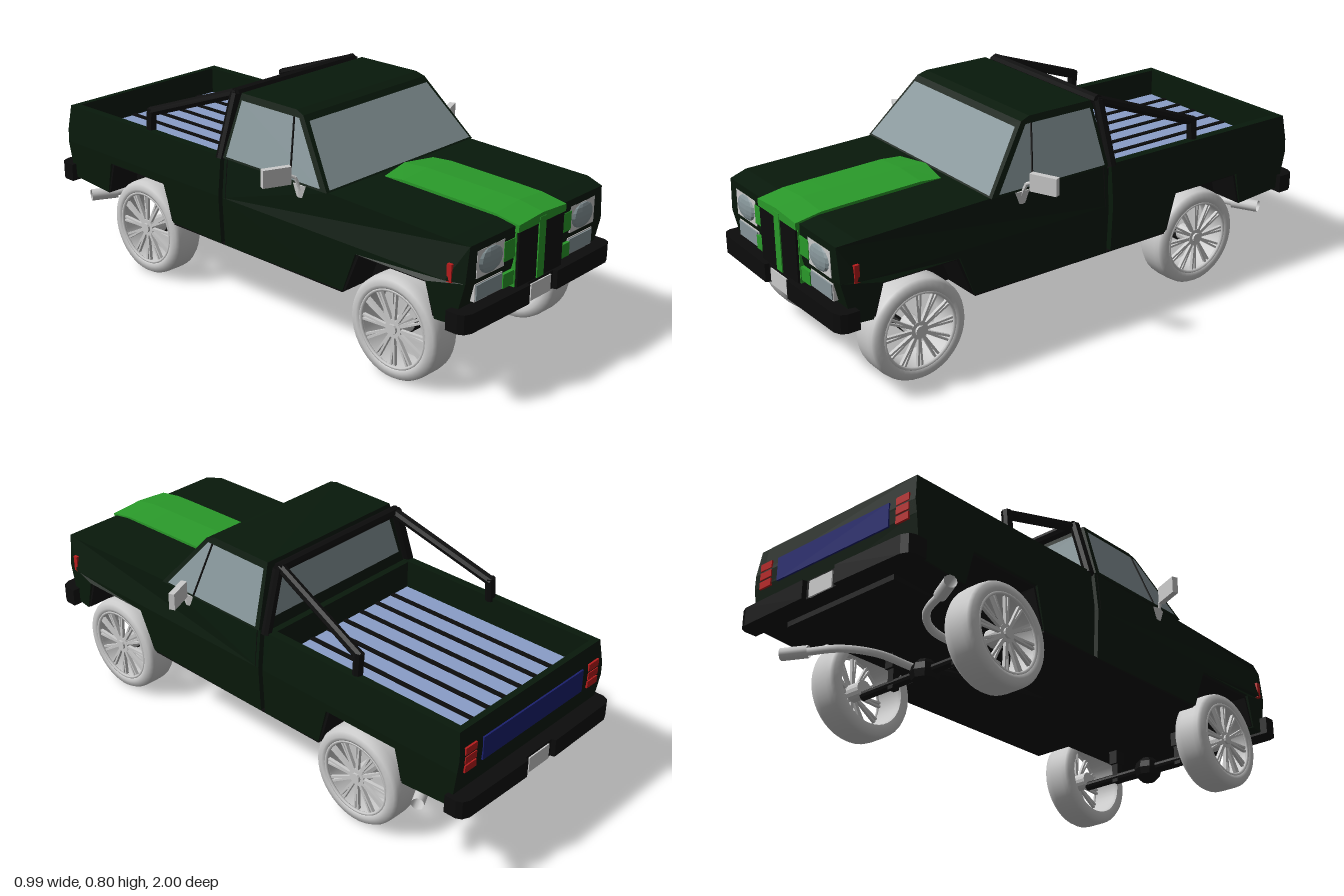
import * as THREE from 'three';

const mat = (color) => new THREE.MeshStandardMaterial({ color, flatShading: true, side: THREE.DoubleSide });
const paint = mat(0x08190b), black = mat(0x0c0c0c), green = mat(0x2a9a2a), blue = mat(0x8a9ec8);
const glass = mat(0x87969a), red = mat(0xb81c1c), navy = mat(0x1a1f6e), grey = mat(0xcccccc);
const smoothGrey = new THREE.MeshStandardMaterial({ color: 0xcccccc, side: THREE.DoubleSide });
const V = (x, y, z) => new THREE.Vector3(x, y, z);
const lerp = THREE.MathUtils.lerp;

export function createModel() {
  const root = new THREE.Group();

  function add(name, geo, material, parent = root) {
    const m = new THREE.Mesh(geo, material);
    m.name = name;
    parent.add(m);
    return m;
  }
  function box(name, material, w, h, d, x, y, z, parent = root) {
    const m = add(name, new THREE.BoxGeometry(w, h, d), material, parent);
    m.position.set(x, y, z);
    return m;
  }
  // Side outline of [z, y] points, extruded across x between two width rules
  function prism(name, material, pts, outer, inner = (y, z) => -outer(y, z)) {
    const shape = new THREE.Shape(pts.map(([z, y]) => new THREE.Vector2(z, y)));
    const geo = new THREE.ExtrudeGeometry(shape, { depth: 1, bevelEnabled: false });
    geo.translate(0, 0, -0.5).rotateY(-Math.PI / 2);
    const p = geo.attributes.position;
    for (let i = 0; i < p.count; i++) {
      const y = p.getY(i), z = p.getZ(i);
      p.setX(i, p.getX(i) > 0 ? outer(y, z) : inner(y, z));
    }
    geo.computeVertexNormals();
    return add(name, geo, material);
  }
  // Thin four-cornered panel
  function panel(name, material, corners) {
    const geo = new THREE.BufferGeometry().setFromPoints(corners);
    geo.setIndex([0, 1, 2, 0, 2, 3]);
    geo.computeVertexNormals();
    return add(name, geo, material);
  }
  // Round bar between two points
  function bar(name, material, a, b, r, sides = 8, parent = root) {
    const m = add(name, new THREE.CylinderGeometry(r, r, a.distanceTo(b), sides), material, parent);
    m.position.copy(a).lerp(b, 0.5);
    m.quaternion.setFromUnitVectors(V(0, 1, 0), b.clone().sub(a).normalize());
    return m;
  }

  // Body: widest at the waist, narrowing upward, downward and at the nose
  const bodyW = (y, z) => (y < 0.43 ? lerp(0.377, 0.385, (y - 0.25) / 0.18) : lerp(0.385, 0.37, (y - 0.43) / 0.145))
    - Math.max(0, z - 0.9) * 0.3;
  prism('cabLowerBody', paint, [[0.93, 0.285], [0.86, 0.285], [0.825, 0.405], [0.535, 0.405], [0.475, 0.255],
    [-0.085, 0.25], [-0.085, 0.43], [0.9, 0.43], [0.965, 0.43]], bodyW);
  prism('cabUpperBody', paint, [[0.965, 0.43], [0.9, 0.43], [-0.085, 0.43], [-0.085, 0.575], [0.405, 0.575],
    [0.9, 0.562], [0.968, 0.55]], bodyW);
  prism('bedLowerBody', paint, [[-0.105, 0.25], [-0.36, 0.255], [-0.4, 0.4], [-0.7, 0.4], [-0.73, 0.275],
    [-0.93, 0.29], [-0.952, 0.43], [-0.105, 0.43]], bodyW);
  prism('tailgate', paint, [[-0.92, 0.43], [-0.952, 0.43], [-0.955, 0.48], [-0.943, 0.572], [-0.92, 0.572]], bodyW);
  prism('bedFrontWall', paint, [[-0.105, 0.43], [-0.105, 0.572], [-0.13, 0.572], [-0.13, 0.43]], bodyW);
  for (const s of [1, -1]) {
    prism('bedSide', paint, [[-0.105, 0.43], [-0.105, 0.575], [-0.943, 0.572], [-0.955, 0.48], [-0.952, 0.43]],
      bodyW, () => 0.338).scale.x = s;
  }

  // Black underside, wheel arch linings and the filler between cab and bed
  const underW = () => 0.374;
  box('underbody', black, 0.5, 0.14, 1.82, 0, 0.335, 0);
  box('floorPan', black, 0.748, 0.006, 0.83, 0, 0.25, 0.057);
  prism('tailPan', black, [[-0.73, 0.272], [-0.93, 0.287], [-0.93, 0.292], [-0.73, 0.28]], underW);
  box('cabGapFiller', black, 0.71, 0.3, 0.03, 0, 0.405, -0.095);
  prism('frontArchLining', black, [[0.858, 0.29], [0.825, 0.404], [0.535, 0.404], [0.477, 0.258],
    [0.485, 0.258], [0.542, 0.396], [0.818, 0.396], [0.85, 0.29]], underW);
  prism('rearArchLining', black, [[-0.362, 0.258], [-0.4, 0.4], [-0.7, 0.4], [-0.73, 0.278],
    [-0.722, 0.278], [-0.693, 0.392], [-0.407, 0.392], [-0.37, 0.258]], underW);

  // Bed floor with dark ribs
  box('bedFloor', blue, 0.676, 0.04, 0.79, 0, 0.45, -0.525);
  for (let i = -3; i <= 3; i++) box('bedRib', black, 0.018, 0.014, 0.79, i * 0.0845, 0.468, -0.525);

  // Cab and windows
  const cabW = (y) => lerp(0.378, 0.308, (y - 0.575) / 0.215);
  prism('cab', paint, [[0.405, 0.575], [0.235, 0.785], [0.2, 0.797], [-0.06, 0.797], [-0.085, 0.575]], cabW);
  const shieldZ = (y) => lerp(0.405, 0.235, (y - 0.575) / 0.21) + 0.005;
  panel('windshield', glass, [V(-0.364, 0.582, shieldZ(0.582)), V(0.364, 0.582, shieldZ(0.582)),
    V(0.3, 0.768, shieldZ(0.768)), V(-0.3, 0.768, shieldZ(0.768))]);
  panel('rearWindow', glass, [V(0.335, 0.6, -0.086), V(-0.335, 0.6, -0.086),
    V(-0.287, 0.772, -0.068), V(0.287, 0.772, -0.068)]);
  for (const s of [1, -1]) {
    const side = (y, z, out = 0.003) => V(s * (cabW(y) + out), y, z);
    panel('sideWindow', glass, [side(0.583, 0.375), side(0.583, -0.068), side(0.775, -0.05), side(0.775, 0.222)]);
    bar('ventPost', black, side(0.583, 0.24), side(0.775, 0.2), 0.004, 6);
    bar('doorSeam', black, V(s * 0.384, 0.43, -0.07), V(s * 0.37, 0.575, -0.07), 0.002, 4);
  }

  // Raised hood stripe, crowned along the middle and bent down at the nose
  const stripe = new THREE.BoxGeometry(0.254, 0.04, 0.565, 2, 1, 6);
  const sp = stripe.attributes.position;
  for (let i = 0; i < sp.count; i++) {
    const mid = 1 - Math.abs(sp.getX(i)) / 0.127;
    let z = sp.getZ(i) + 0.7;
    const top = z > 0.88 ? lerp(0.572, 0.555, (z - 0.88) / 0.1) : z > 0.5 ? lerp(0.582, 0.572, (z - 0.5) / 0.38) : 0.575;
    const y = sp.getY(i) > 0 ? top + 0.009 * mid : 0.53;
    if (z < 0.42) z += 0.022 * (1 - mid) - 0.007;
    sp.setXYZ(i, sp.getX(i), y, z);
  }
  stripe.computeVertexNormals();
  add('hoodStripe', stripe, green);

  // Grille and lamps
  box('grilleSurround', green, 0.25, 0.21, 0.05, 0, 0.445, 0.948);
  box('grilleSpine', green, 0.036, 0.21, 0.02, 0, 0.445, 0.974);
  for (const s of [1, -1]) {
    box('grille', black, 0.1, 0.195, 0.02, s * 0.07, 0.437, 0.971);
    for (const [y, h] of [[0.478, 0.066], [0.378, 0.048]]) box('grilleWing', green, 0.06, h, 0.03, s * 0.15, y, 0.955);
    box('headlightFrame', grey, 0.138, 0.092, 0.03, s * 0.246, 0.478, 0.953);
    const lens = add('headlight', new THREE.SphereGeometry(1, 10, 8), glass);
    lens.scale.set(0.062, 0.044, 0.014);
    lens.position.set(s * 0.246, 0.478, 0.967);
    box('lowerLamp', grey, 0.138, 0.06, 0.03, s * 0.246, 0.382, 0.948);
    box('lowerLampLens', glass, 0.13, 0.052, 0.006, s * 0.246, 0.382, 0.964);
    box('sideMarker', red, 0.012, 0.06, 0.018, s * 0.375, 0.456, 0.913);
    // Stacked tail lamps
    for (let i = 0; i < 3; i++) box('tailLamp', red, 0.056, 0.026, 0.01, s * 0.325, 0.432 + i * 0.033, -0.953);
  }
  box('tailPanel', navy, 0.53, 0.085, 0.01, 0, 0.465, -0.953);

  // Bumpers with rounded, wrapped corners and a plate in a shallow centre recess
  for (const s of [1, -1]) {
    const half = [[0.4, 0.92], [0.4, 0.965], [0.39, 0.985], [0.365, 0.996], [0.075, 1], [0.07, 0.985]];
    const plan = [...half, ...half.map(([x, z]) => [-x, z]).reverse()];
    const geo = new THREE.ExtrudeGeometry(new THREE.Shape(plan.map(([x, z]) => new THREE.Vector2(x, z))),
      { depth: 0.066, bevelEnabled: false });
    geo.rotateX(Math.PI / 2).translate(0, 0.342, 0);
    add(s > 0 ? 'frontBumper' : 'rearBumper', geo, black).rotation.y = s > 0 ? 0 : Math.PI;
    box('plate', grey, 0.108, 0.058, 0.01, 0, 0.305, s * 0.985);
  }

  // Roll bar
  const hoop = [V(-0.365, 0.565, -0.108), V(-0.297, 0.787, -0.1), V(0.297, 0.787, -0.1), V(0.365, 0.565, -0.108)];
  for (let i = 0; i < 3; i++) bar('rollHoop', black, hoop[i], hoop[i + 1], 0.019);
  for (const s of [1, -1]) {
    bar('rollBrace', black, V(s * 0.285, 0.786, -0.1), V(s * 0.338, 0.637, -0.508), 0.018);
    bar('rollBracePost', black, V(s * 0.338, 0.65, -0.502), V(s * 0.345, 0.56, -0.502), 0.018);

    // Door mirrors
    const mirror = box('mirror', grey, 0.1, 0.062, 0.022, s * 0.446, 0.61, 0.243);
    mirror.rotation.y = s * 0.4;
    bar('mirrorArm', grey, V(s * 0.372, 0.55, 0.285), V(s * 0.388, 0.6, 0.272), 0.006);
    bar('mirrorArm', grey, V(s * 0.388, 0.6, 0.272), V(s * 0.41, 0.61, 0.258), 0.006);
    const mount = add('mirrorMount', new THREE.CylinderGeometry(0.03, 0.012, 0.045, 4), grey);
    mount.scale.x = 0.3;
    mount.position.set(s * 0.374, 0.55, 0.278);

    // Exhaust pipes
    const path = new THREE.CatmullRomCurve3([V(s * 0.1, 0.25, -0.28), V(s * 0.12, 0.235, -0.45),
      V(s * 0.13, 0.235, -0.62), V(s * 0.2, 0.24, -0.72), V(s * 0.32, 0.245, -0.775)]);
    add('exhaustPipe', new THREE.TubeGeometry(path, 24, 0.014, 8), smoothGrey);
    const tip = add('exhaustTip', new THREE.CylinderGeometry(0.022, 0.022, 0.1, 12, 1, true), smoothGrey);
    tip.position.set(s * 0.352, 0.246, -0.79);
    tip.quaternion.setFromUnitVectors(V(0, 1, 0), V(s * 0.88, 0, -0.45).normalize());
  }

  // Axles, springs and drive shaft
  for (const z of [0.685, -0.525]) {
    bar('axle', black, V(-0.3, 0.16, z), V(0.3, 0.16, z), 0.017, 10);
    const diff = add('differential', new THREE.SphereGeometry(0.052, 8, 6), black);
    diff.position.set(0, 0.155, z);
    for (const s of [1, -1]) {
      box('springMount', black, 0.026, 0.13, 0.03, s * 0.15, 0.205, z);
      box('springPad', black, 0.036, 0.055, 0.05, s * 0.15, 0.24, z);
    }
  }
  bar('driveShaft', black, V(0, 0.25, 0.04), V(0, 0.168, -0.5), 0.024, 10);

  // Wheels: tyre profile of [radius, offset], twelve split spokes and a hub
  const profile = [[0.136, -0.058], [0.15, -0.0625], [0.17, -0.058], [0.178, -0.045], [0.18, -0.025], [0.18, 0.025],
    [0.178, 0.045], [0.17, 0.058], [0.15, 0.0625], [0.136, 0.058], [0.131, 0.045], [0.131, -0.045], [0.136, -0.058]];
  const tyre = new THREE.LatheGeometry(profile.map(([r, o]) => new THREE.Vector2(r, o)), 40).rotateZ(-Math.PI / 2);
  for (const s of [1, -1]) for (const z of [0.685, -0.525]) {
    const wheel = new THREE.Group();
    wheel.name = z > 0 ? 'frontWheel' : 'rearWheel';
    wheel.position.set(s * 0.315, 0.185, z);
    wheel.rotation.y = s > 0 ? 0 : Math.PI;
    root.add(wheel);
    add('tyre', tyre, smoothGrey, wheel);
    const rim = add('rimLip', new THREE.TorusGeometry(0.134, 0.006, 6, 40), smoothGrey, wheel);
    rim.rotation.y = Math.PI / 2;
    rim.position.x = 0.055;
    for (let i = 0; i < 12; i++) for (const t of [-0.055, 0.055]) {
      const a = (i / 12) * Math.PI * 2 + t;
      const spoke = box('spoke', grey, 0.012, 0.108, 0.0075, 0.045, 0.079 * Math.cos(a), 0.079 * Math.sin(a), wheel);
      spoke.rotation.x = a;
    }
    bar('hub', grey, V(-0.02, 0, 0), V(0.052, 0, 0), 0.032, 16, wheel);
    bar('hubCap', grey, V(0.05, 0, 0), V(0.06, 0, 0), 0.018, 12, wheel);
  }
  return root;
}
